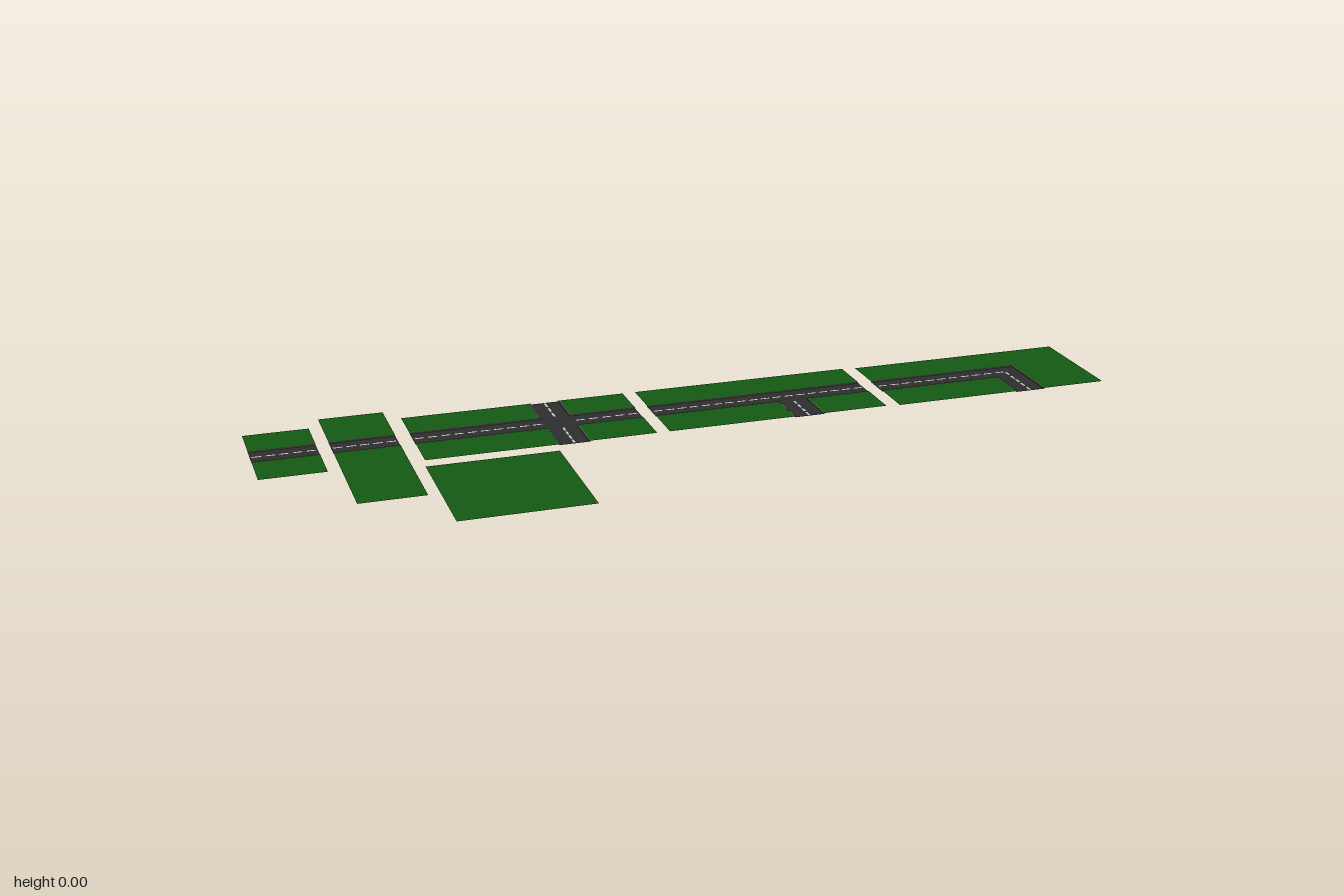
import * as THREE from 'three';
import { mergeGeometries } from 'three/addons/utils/BufferGeometryUtils.js';

const material = (color) => new THREE.MeshStandardMaterial({ color, side: THREE.DoubleSide });
const KERB = 0.002; // kerb height above the road
const Z0 = -0.29, Z1 = -0.015; // depth range of the road tiles
const R0 = -0.188, R1 = -0.121, RC = (R0 + R1) / 2; // main road edges and centre line
const HALF = 0.035; // half width of a side road

// Flat rectangle [x0, z0, x1, z1] at height y
function rect([x0, z0, x1, z1], y) {
  const g = new THREE.PlaneGeometry(x1 - x0, z1 - z0);
  g.rotateX(-Math.PI / 2);
  return g.translate((x0 + x1) / 2, y, (z0 + z1) / 2);
}

// Thin kerb along an axis-aligned line
function kerb([x0, z0, x1, z1], y) {
  const w = 0.003, h = KERB + 0.0004;
  const g = new THREE.BoxGeometry(Math.max(x1 - x0, w), h, Math.max(z1 - z0, w));
  return g.translate((x0 + x1) / 2, y + h / 2, (z0 + z1) / 2);
}

// Row of lane dashes along an axis-aligned line
function dashes([x0, z0, x1, z1], y) {
  const length = Math.max(x1 - x0, z1 - z0), alongX = x1 - x0 > z1 - z0;
  const n = Math.max(1, Math.round(length / 0.03)), step = length / n, w = 0.0025;
  return Array.from({ length: n }, (_, i) => {
    const a = (i + 0.15) * step, b = (i + 0.85) * step;
    return rect(alongX ? [x0 + a, z0 - w, x0 + b, z0 + w] : [x0 - w, z0 + a, x0 + w, z0 + b], y + 0.0005);
  });
}

// Straight stretch of road with grass on both sides
function straight(x0, x1, z0 = Z0, z1 = Z1) {
  return {
    grass: [[x0, z0, x1, R0], [x0, R1, x1, z1]],
    road: [[x0, R0, x1, R1]],
    kerbs: [[x0, R0, x1, R0], [x0, R1, x1, R1]],
    lines: [[x0, RC, x1, RC]],
  };
}

// Four-way crossing with its side road centred on c
function crossing(x0, x1, c) {
  const a = c - HALF, b = c + HALF;
  return {
    grass: [[x0, Z0, a, R0], [b, Z0, x1, R0], [x0, R1, a, Z1], [b, R1, x1, Z1]],
    road: [[x0, R0, x1, R1], [a, Z0, b, R0], [a, R1, b, Z1]],
    kerbs: [[x0, R0, a, R0], [b, R0, x1, R0], [x0, R1, a, R1], [b, R1, x1, R1],
      [a, Z0, a, R0], [b, Z0, b, R0], [a, R1, a, Z1], [b, R1, b, Z1]],
    lines: [[x0, RC, a, RC], [b, RC, x1, RC], [c, Z0, c, R0], [c, R1, c, Z1]],
  };
}

// Three-way junction, side road towards the front
function junction(x0, x1, c) {
  const a = c - HALF, b = c + HALF;
  return {
    grass: [[x0, Z0, x1, R0], [x0, R1, a, Z1], [b, R1, x1, Z1]],
    road: [[x0, R0, x1, R1], [a, R1, b, Z1]],
    kerbs: [[x0, R0, x1, R0], [x0, R1, a, R1], [b, R1, x1, R1], [a, R1, a, Z1], [b, R1, b, Z1]],
    lines: [[x0, RC, x1, RC], [c, R1, c, Z1]],
  };
}

// Right-angle bend towards the front
function corner(x0, x1, c) {
  const a = c - HALF, b = c + HALF;
  return {
    grass: [[x0, Z0, x1, R0], [b, R0, x1, Z1], [x0, R1, a, Z1]],
    road: [[x0, R0, b, R1], [a, R1, b, Z1]],
    kerbs: [[x0, R0, b, R0], [x0, R1, a, R1], [a, R1, a, Z1], [b, R0, b, Z1]],
    lines: [[x0, RC, c, RC], [c, RC, c, Z1]],
  };
}

export function createModel() {
  const model = new THREE.Group();
  model.name = 'roadTiles';
  const mats = {
    grass: material(0x155a14), road: material(0x2e2e2e),
    kerbs: material(0x5c5c5c), lines: material(0xdddddd),
  };
  const build = {
    grass: (r, y) => rect(r, y + KERB),
    road: rect,
    kerbs: kerb,
    lines: dashes,
  };

  // Tiles with the height of their road surface
  const tiles = [
    ['shortRoadTile', straight(-1, -0.852), 0.002],
    ['deepRoadTile', straight(-0.823, -0.675, -0.342, 0.182), 0.002],
    ['crossingTile', crossing(-0.642, -0.116, -0.306), 0.002],
    ['junctionTile', junction(-0.086, 0.44, 0.25), 0.002],
    ['cornerTile', corner(0.474, 1, 0.811), 0],
    ['grassTile', { grass: [[-0.648, 0.02, -0.35, 0.335]] }, 0.001],
  ];
  for (const [name, parts, y] of tiles) {
    const tile = new THREE.Group();
    tile.name = name;
    for (const [part, list] of Object.entries(parts)) {
      const mesh = new THREE.Mesh(mergeGeometries(list.flatMap((r) => build[part](r, y))), mats[part]);
      mesh.name = part;
      tile.add(mesh);
    }
    model.add(tile);
  }
  return model;
}
